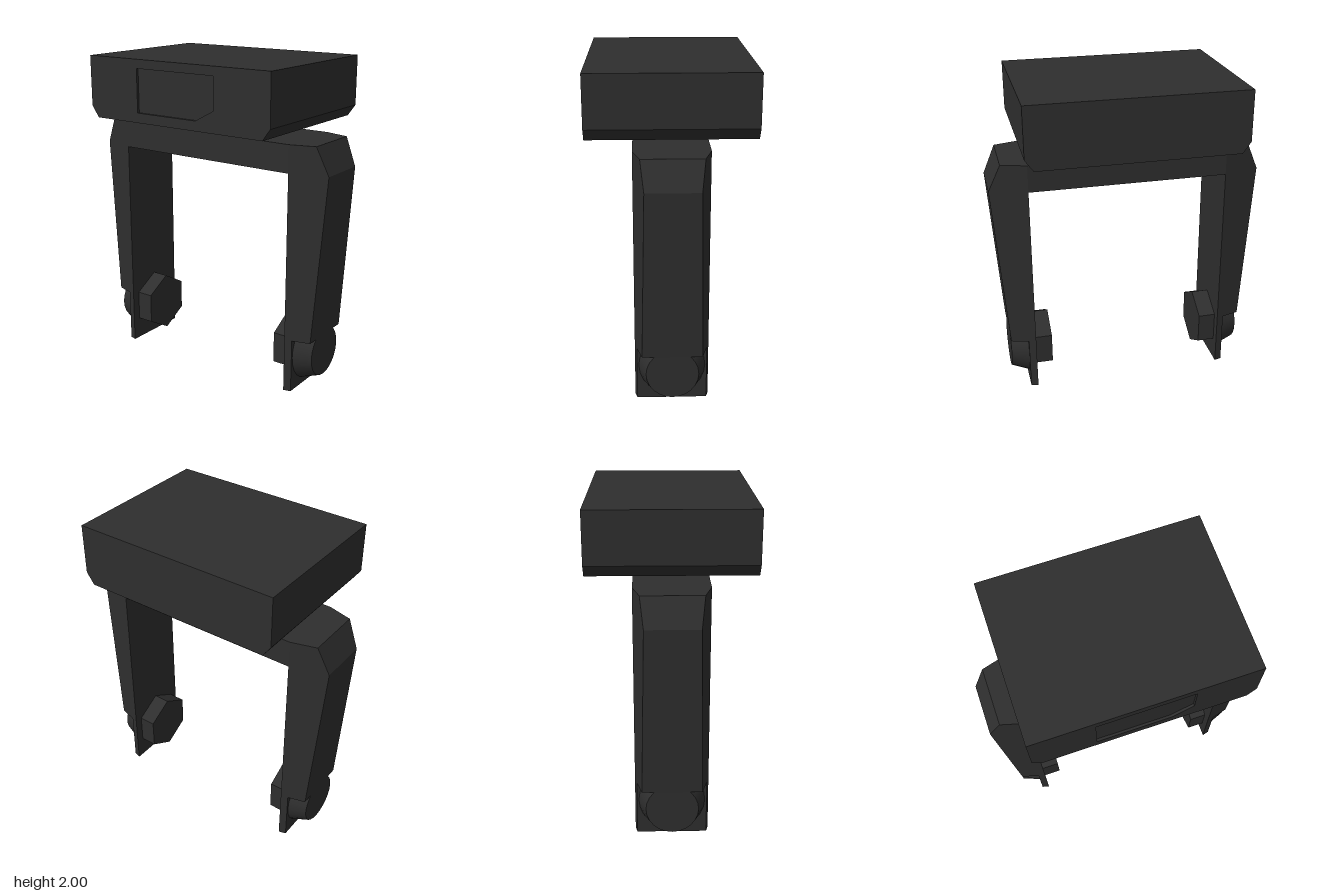
import * as THREE from 'three';

const darkGrey = new THREE.MeshStandardMaterial({ color: 0x2e2e2e });
darkGrey.name = 'dark grey';

function part(name, geometry, parent) {
  const mesh = new THREE.Mesh(geometry, darkGrey);
  mesh.name = name;
  parent.add(mesh);
  return mesh;
}

const toPoints = (list) => list.map(([x, y]) => new THREE.Vector2(x, y));

function extrude(shape, z0, z1) {
  const g = new THREE.ExtrudeGeometry(shape, { depth: z1 - z0, bevelEnabled: false });
  return g.translate(0, 0, z0);
}

// One arm of the fork, on the +x side
function createArm() {
  const arm = new THREE.Group();

  // Leg: side profile whose thickness narrows towards the outside
  const inner = 0.615;
  const leg = extrude(new THREE.Shape(toPoints([
    [inner, 0], [0.66, 0], [0.66, 0.34], [0.77, 0.34],
    [0.845, 1.385], [0.77, 1.555], [inner, 1.555],
  ])), -1, 1);
  const pos = leg.attributes.position;
  for (let i = 0; i < pos.count; i++) {
    const halfDepth = 0.223 - (pos.getX(i) - inner) * 0.28;
    pos.setZ(i, Math.sign(pos.getZ(i)) * halfDepth);
  }
  leg.computeVertexNormals();
  part('leg', leg, arm);

  // Tapered round boss on the outside of the foot
  const boss = new THREE.CylinderGeometry(0.157, 0.2, 0.11, 24);
  boss.rotateZ(-Math.PI / 2).translate(0.715, 0.225, 0);
  part('boss', boss, arm);

  // Hexagonal nut on the inside of the foot
  let nut = new THREE.CylinderGeometry(0.195, 0.195, 0.11, 6, 1, false, Math.PI / 6);
  nut = nut.toNonIndexed();
  nut.computeVertexNormals();
  nut.rotateZ(-Math.PI / 2).translate(0.56, 0.24, 0);
  part('nut', nut, arm);
  return arm;
}

export function createModel() {
  const model = new THREE.Group();
  model.name = 'forkMount';

  // Head block with chamfered lower ends and a shallow recess in front
  const outline = toPoints([
    [-0.61, 1.62], [0.61, 1.62], [0.66, 1.69], [0.66, 2], [-0.66, 2], [-0.66, 1.69],
  ]);
  const recess = toPoints([
    [-0.285, 1.68], [0.15, 1.68], [0.28, 1.75], [0.28, 1.945], [-0.285, 1.945],
  ]);
  const recessFloor = 0.475;
  part('headBlock', extrude(new THREE.Shape(outline), -0.49, recessFloor), model);
  const frontShape = new THREE.Shape(outline);
  frontShape.holes.push(new THREE.Path(recess));
  part('headFront', extrude(frontShape, recessFloor, 0.49), model);

  // Swivel neck
  const neck = new THREE.CylinderGeometry(0.175, 0.175, 0.08, 32);
  part('neck', neck.translate(0, 1.588, 0), model);

  // Crossbar joining the two arms
  const bar = new THREE.BoxGeometry(1.23, 0.17, 0.446);
  part('crossbar', bar.translate(0, 1.47, 0), model);

  // Matching arms
  for (const side of ['left', 'right']) {
    const arm = createArm();
    arm.name = side + 'Arm';
    if (side === 'right') arm.rotation.y = Math.PI;
    model.add(arm);
  }
  return model;
}
